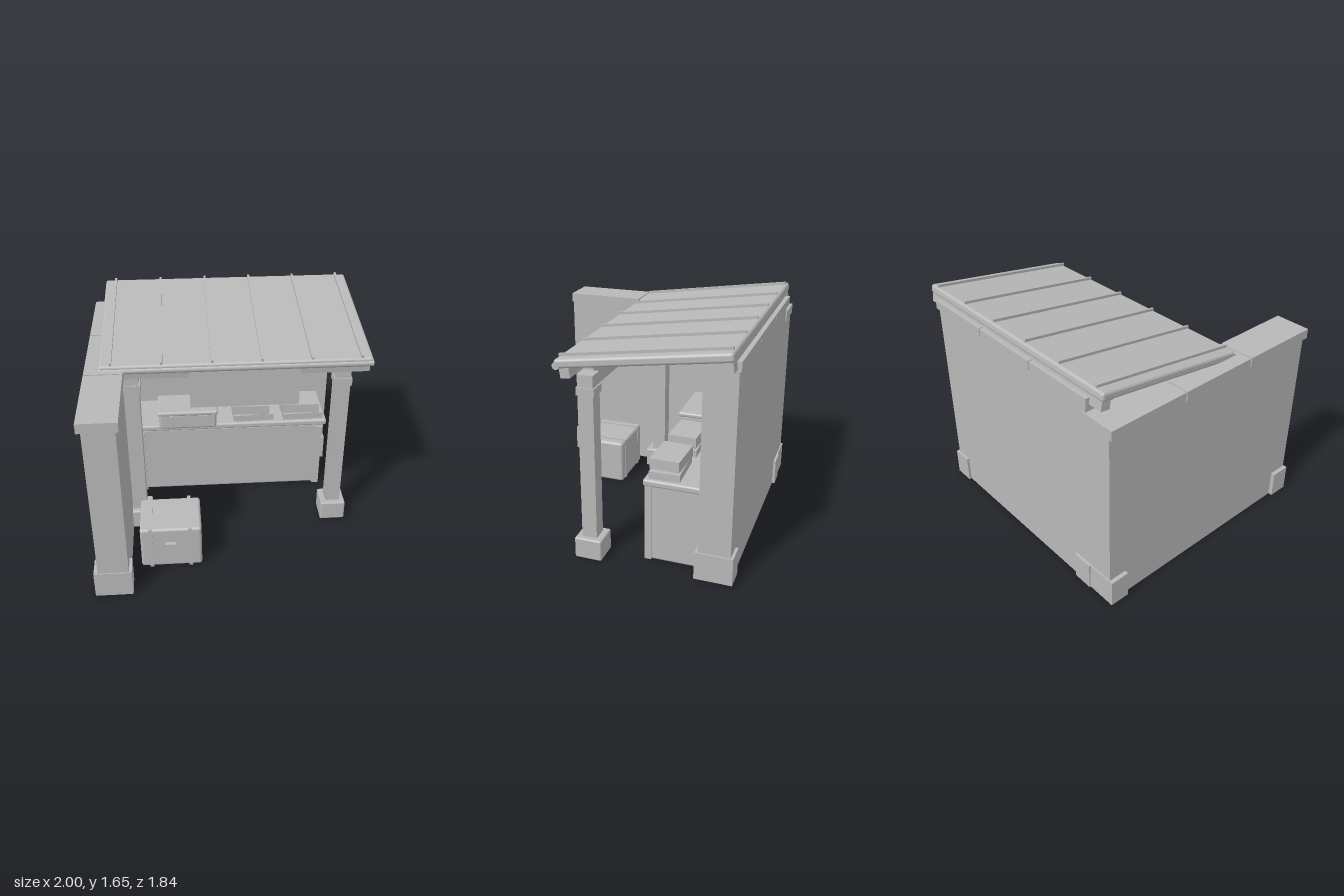
import * as THREE from 'three';
import { RoundedBoxGeometry } from 'three/addons/geometries/RoundedBoxGeometry.js';

export function createModel() {
  const stall = new THREE.Group();
  stall.name = 'marketStall';
  const grey = new THREE.MeshStandardMaterial({ color: 0xb8b8b8 });
  grey.name = 'plainGrey';

  // Box given by its extents; r > 0 rounds the edges
  function box(name, [x0, x1], [y0, y1], [z0, z1], r = 0, parent = stall) {
    const size = [x1 - x0, y1 - y0, z1 - z0];
    const geo = r ? new RoundedBoxGeometry(...size, 3, r) : new THREE.BoxGeometry(...size);
    const mesh = new THREE.Mesh(geo, grey);
    mesh.name = name;
    mesh.position.set((x0 + x1) / 2, (y0 + y1) / 2, (z0 + z1) / 2);
    parent.add(mesh);
    return mesh;
  }

  // Walls
  box('sideWall', [-0.97, -0.755], [0, 1.368], [-0.9, 0.908]);
  box('backWall', [-0.757, 0.88], [0, 1.49], [-0.9, -0.677]);

  // Coping stones
  for (const z of [[-0.908, -0.302], [-0.292, 0.302], [0.312, 0.91]])
    box('sideCoping', [-1, -0.735], [1.368, 1.44], z);
  for (const x of [[-0.78, -0.226], [-0.218, 0.33], [0.338, 0.892]])
    box('backCoping', x, [1.49, 1.555], [-0.915, -0.66]);

  // Corner plinth blocks
  box('sidePlinth', [-1, -0.735], [0, 0.203], [0.765, 0.915]);
  box('sidePlinth', [-1, -0.735], [0, 0.203], [-0.91, -0.765]);
  box('backPlinth', [-0.78, -0.63], [0, 0.203], [-0.92, -0.655]);
  box('backPlinth', [0.74, 0.892], [0, 0.203], [-0.92, -0.655]);

  // Front posts with footing and collar
  for (const x of [-0.697, 0.817]) {
    box('post', [x - 0.055, x + 0.055], [0.1, 1.345], [0.045, 0.153]);
    box('postFooting', [x - 0.096, x + 0.096], [0, 0.156], [0, 0.196], 0.012);
    box('postCollar', [x - 0.064, x + 0.064], [1.205, 1.26], [0.035, 0.162]);
  }

  // Sloped roof with battens, eave roll and beams
  const roof = new THREE.Group();
  roof.name = 'roof';
  roof.position.set(0.047, 1.523, -0.315);
  roof.rotation.x = 0.145;
  stall.add(roof);
  box('roofSlab', [-0.948, 0.948], [-0.031, 0.031], [-0.578, 0.578], 0.02, roof);
  for (let i = 0; i < 6; i++) {
    const x = -0.867 + i * 0.347;
    box('roofBatten', [x - 0.008, x + 0.008], [0.02, 0.05], [-0.565, 0.565], 0, roof);
  }
  const roll = new THREE.Mesh(new THREE.CylinderGeometry(0.025, 0.025, 1.896, 16), grey);
  roll.name = 'eaveRoll';
  roll.rotation.z = Math.PI / 2;
  roll.position.set(0, -0.011, 0.565);
  roof.add(roll);
  box('frontBeam', [-0.935, 0.935], [-0.097, -0.03], [0.483, 0.55], 0, roof);
  box('backBeam', [-0.935, 0.935], [-0.097, -0.03], [-0.567, -0.5], 0, roof);

  // Hanging board under the eave
  box('hangingBoard', [-0.285, 0.49], [1.115, 1.42], [0.202, 0.24]);

  // Counter
  box('counterBody', [-0.7, 0.775], [0.008, 0.592], [-0.667, -0.29], 0.018);
  box('counterTop', [-0.74, 0.815], [0.59, 0.638], [-0.68, -0.268], 0.015);
  for (const x of [[-0.705, -0.65], [0.728, 0.783]])
    box('counterTrim', x, [0.01, 0.575], [-0.32, -0.272]);

  // Small case on the counter
  box('caseBody', [-0.528, -0.072], [0.612, 0.75], [-0.52, -0.256], 0.022);
  box('caseLid', [-0.538, -0.062], [0.735, 0.773], [-0.53, -0.246], 0.016);
  for (const x of [-0.435, -0.165])
    box('caseStrap', [x - 0.013, x + 0.013], [0.64, 0.74], [-0.27, -0.235]);

  // Two stacks of books
  for (const x of [0.06, 0.46]) {
    box('lowerBook', [x + 0.005, x + 0.325], [0.636, 0.691], [-0.512, -0.298]).rotation.y = 0.03;
    box('upperBook', [x + 0.004, x + 0.296], [0.695, 0.772], [-0.51, -0.302]).rotation.y = -0.04;
  }

  // Chest on the ground
  box('chest', [-0.68, -0.235], [0.004, 0.347], [0.278, 0.647], 0.022);
  for (const x of [-0.605, -0.318])
    box('chestStrap', [x - 0.014, x + 0.014], [0.01, 0.356], [0.275, 0.657]);
  box('chestLatch', [-0.5, -0.425], [0.195, 0.23], [0.64, 0.675]);

  return stall;
}
